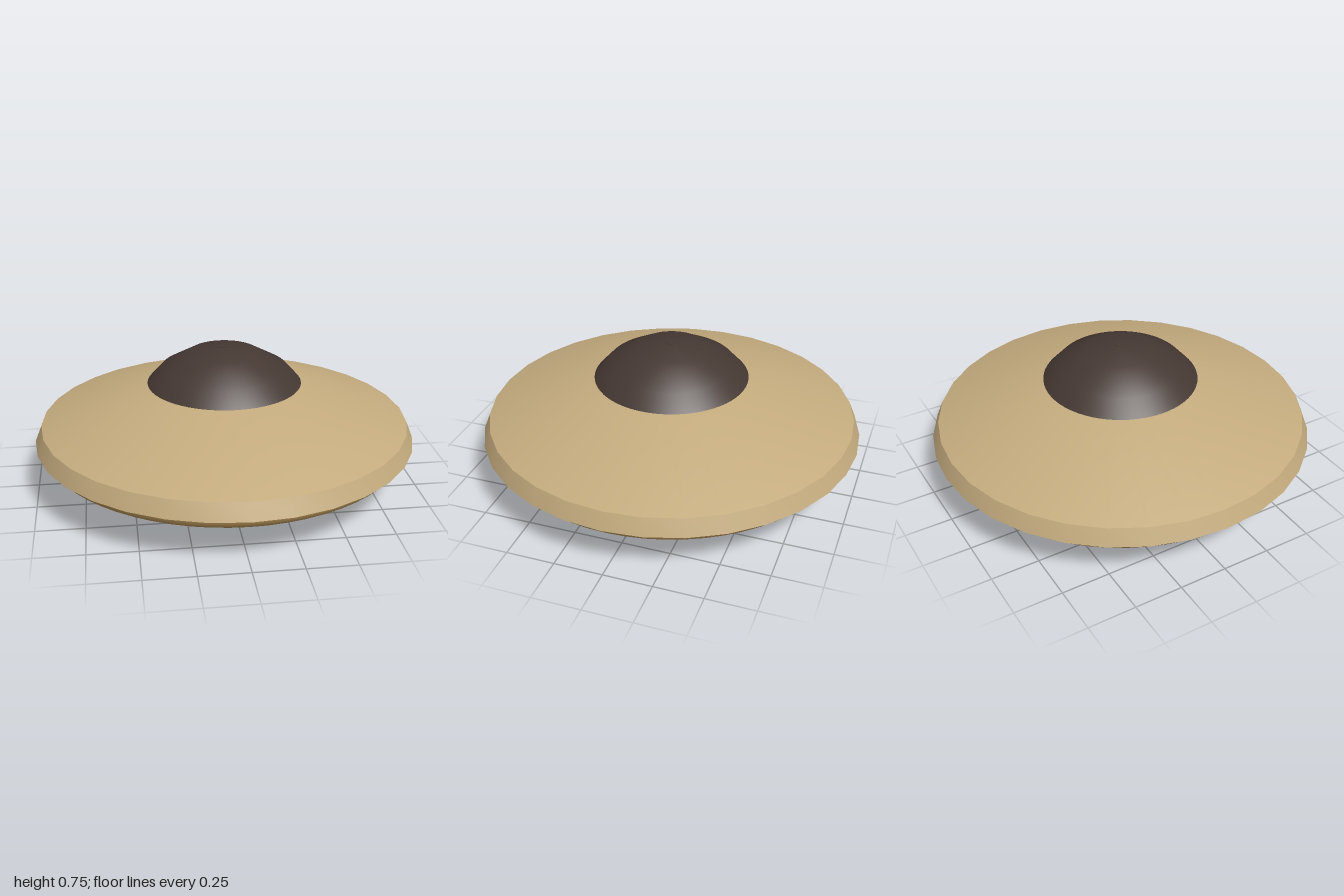
import * as THREE from 'three';
import { toCreasedNormals } from 'three/addons/utils/BufferGeometryUtils.js';

const material = (color) => new THREE.MeshStandardMaterial({ color, side: THREE.DoubleSide });
const tan = material(0xc4ab7e);
const brass = material(0xb08d55);
const dark = material(0x453833);
const silver = material(0xdcdde2);
const slate = material(0x828a92);
const charcoal = material(0x55575c);

// Turned part from [radius, height] points listed bottom to top on the outside
function turned(name, points, segments, mat, crease = 0.4) {
  const profile = points.map(([r, y]) => new THREE.Vector2(r, y));
  const lathe = new THREE.LatheGeometry(profile, segments);
  const mesh = new THREE.Mesh(toCreasedNormals(lathe, crease), mat);
  mesh.name = name;
  return mesh;
}

export function createModel() {
  const group = new THREE.Group();
  group.name = 'saucer';

  // Shell: underside cone, lip, bevelled rim and sloping top
  group.add(turned('shell', [
    [0.3, 0.45], [0.8, 0.27], [0.8, 0.225], [0.95, 0.235],
    [1, 0.26], [0.965, 0.345], [0.405, 0.55], [0, 0.555],
  ], 32, tan));

  // Dome with a small button on its crown
  group.add(turned('dome', [
    [0.405, 0.548], [0.33, 0.63], [0.18, 0.714], [0.03, 0.742], [0, 0.742],
  ], 64, dark, 0.6));
  group.add(turned('crownButton', [[0.03, 0.735], [0.03, 0.744], [0, 0.745]], 24, dark));

  // Ripples stepping up the underside towards the middle
  for (let i = 0; i < 4; i++) {
    const ring = new THREE.Mesh(new THREE.TorusGeometry(0.89 - 0.14 * i, 0.075, 16, 64), brass);
    ring.name = `undersideRing${i + 1}`;
    ring.rotation.x = Math.PI / 2;
    ring.position.y = 0.26 + 0.051 * i;
    group.add(ring);
  }

  // Tapered foot, its collar and the base plate
  group.add(turned('foot', [[0.335, 0.03], [0.4, 0.39], [0, 0.39]], 48, silver));
  group.add(turned('footCollar', [[0.35, 0], [0.35, 0.035], [0, 0.035]], 48, slate));
  group.add(turned('basePlate', [[0, 0], [0.35, 0]], 48, charcoal));

  return group;
}
